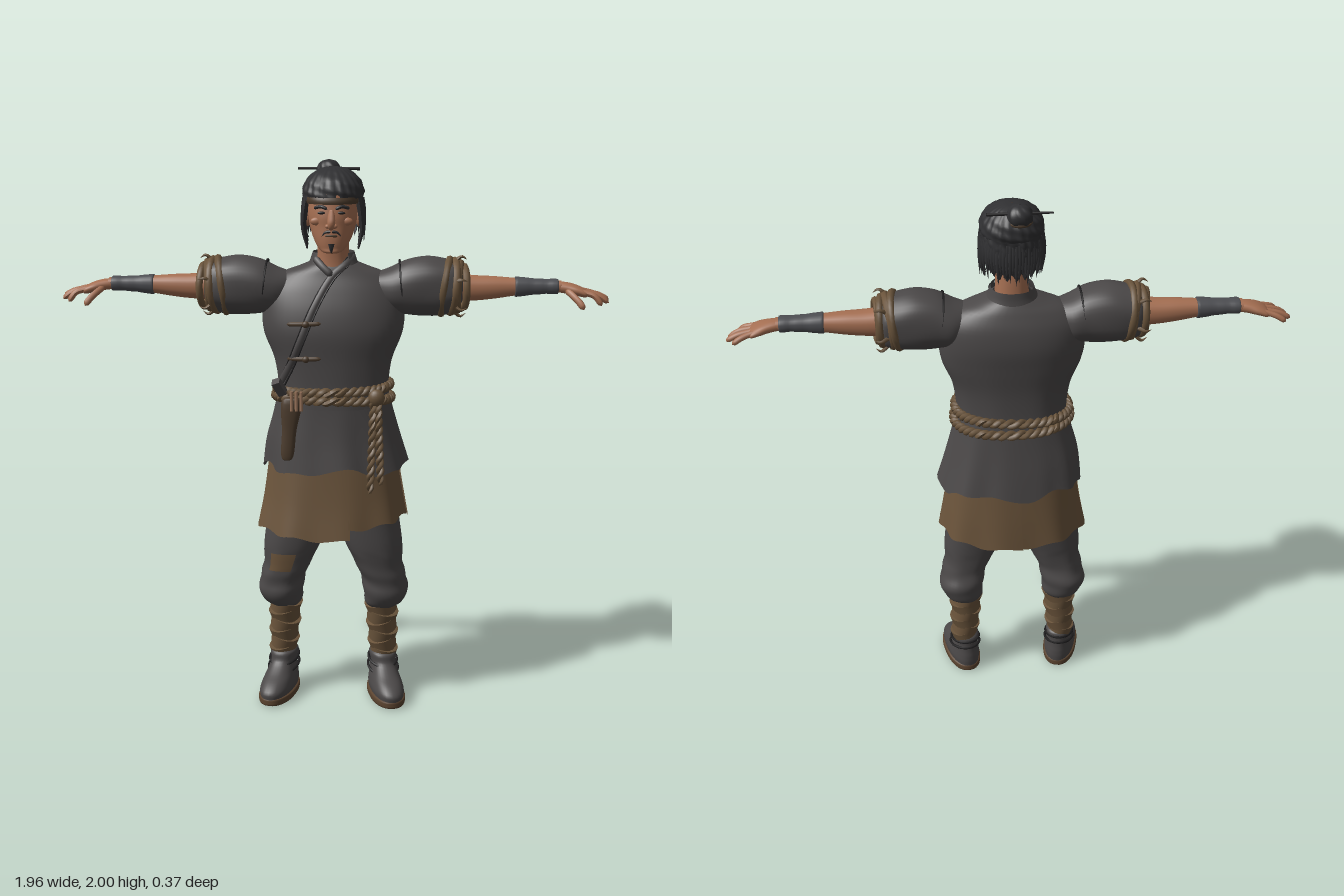
import * as THREE from 'three';

const M = (name, color) => Object.assign(new THREE.MeshStandardMaterial({ color, side: THREE.DoubleSide }), { name });
const V = (x, y, z) => new THREE.Vector3(x, y, z);
const POW = 0.88;
const sp = (v, p) => Math.sign(v) * Math.pow(Math.abs(v), p);

// Smooth section at u along rings of [y, rx, rz, cx, cz]
function sampler(rings) {
  const a = new THREE.CatmullRomCurve3(rings.map(r => V(r[0], r[1], r[2])));
  const b = new THREE.CatmullRomCurve3(rings.map((r, i) => V(r[3] || 0, r[4] || 0, i)));
  return u => { const p = a.getPoint(u), q = b.getPoint(u); return [p.x, p.y, p.z, q.x, q.y]; };
}

// Skin stacked elliptical sections (rising y); angle 0 is the front, turning to +x
function loft(rings, { n = 36, rows = 24, t0 = 0, t1 = Math.PI * 2, u0 = 0, u1 = 1, grow = 0, mod = () => 1, hem = () => 0 } = {}) {
  const at = sampler(rings), full = t1 - t0 > 6.28, cols = full ? n : n + 1, pos = [], idx = [];
  for (let i = 0; i <= rows; i++) {
    const v = i / rows, [y, rx, rz, cx, cz] = at(u0 + (u1 - u0) * v);
    for (let j = 0; j < cols; j++) {
      const t = t0 + (t1 - t0) * j / n, k = mod(t, v);
      pos.push(cx + (rx * k + grow) * sp(Math.sin(t), POW), y + hem(t) * (1 - v), cz + (rz * k + grow) * sp(Math.cos(t), POW));
    }
  }
  for (let i = 0; i < rows; i++) for (let j = 0; j < n; j++) {
    const a = i * cols + j, b = i * cols + (j + 1) % cols, c = a + cols, d = b + cols;
    idx.push(a, b, c, b, d, c);
  }
  const g = new THREE.BufferGeometry();
  g.setAttribute('position', new THREE.Float32BufferAttribute(pos, 3));
  g.setIndex(idx);
  g.computeVertexNormals();
  return g;
}

// Front surface depth of a loft at (x, y)
function frontZ(rings, x, y) {
  const at = sampler(rings);
  let best = at(0);
  for (let i = 1; i <= 200; i++) { const s = at(i / 200); if (Math.abs(s[0] - y) < Math.abs(best[0] - y)) best = s; }
  const s = Math.min(1, Math.pow(Math.abs(x - best[3]) / best[1], 1 / POW));
  return best[4] + best[2] * Math.pow(Math.sqrt(1 - s * s), POW);
}

// Tube whose radius follows a rule along its length
function cord(pts, r, taper = u => Math.pow(Math.max(0, 1 - Math.pow(Math.abs(2 * u - 1), 8)), 0.5), seg = 14, sides = 8, closed = false) {
  const c = new THREE.CatmullRomCurve3(pts, closed), g = new THREE.TubeGeometry(c, seg, r, sides, closed), p = g.attributes.position;
  for (let i = 0; i < p.count; i++) {
    const u = Math.floor(i / (sides + 1)) / seg, o = c.getPointAt(u);
    const q = V().fromBufferAttribute(p, i).sub(o).multiplyScalar(Math.max(0.02, taper(u))).add(o);
    p.setXYZ(i, q.x, q.y, q.z);
  }
  g.computeVertexNormals();
  return g;
}
const tip = u => Math.max(0, 1 - u * u);

function mirror(geo) {
  const g = geo.clone().scale(-1, 1, 1), a = g.index.array;
  for (let i = 0; i < a.length; i += 3) [a[i], a[i + 1]] = [a[i + 1], a[i]];
  return g;
}
const ball = (rx, ry, rz, x, y, z) => new THREE.SphereGeometry(1, 18, 12).scale(rx, ry, rz).translate(x, y, z);

export function createModel() {
  const root = new THREE.Group();
  const cloth = M('charcoal cloth', 0x4b4848), brown = M('brown cloth', 0x6c553c), rope = M('wrap and rope', 0x67523a);
  const skin = M('skin', 0xa56f52), hair = M('hair', 0x303032), guard = M('wrist cloth', 0x4d4e52);
  const sole = M('sole', 0x5a432f), seam = M('dark seam', 0x201f20), leather = M('leather', 0x4c3c2d), wood = M('wood', 0x9a755c);
  const add = (name, geo, mat) => { const m = new THREE.Mesh(geo, mat); m.name = name; root.add(m); return m; };
  const pair = (name, geo, mat) => { add(name + 'Left', geo, mat); add(name + 'Right', mirror(geo), mat); };
  let seed = 7;
  const rnd = () => (seed = (seed * 16807) % 2147483647) / 2147483647;

  // Tunic body
  const torso = [[1.13, .2, .135, 0, .005], [1.2, .198, .13, 0, .008], [1.3, .212, .13, 0, .01], [1.4, .25, .137, 0, .008], [1.48, .256, .133, 0, -.002],
    [1.55, .245, .116, 0, -.01], [1.6, .195, .095, 0, -.012], [1.63, .12, .082, 0, -.01], [1.65, .07, .07, 0, -.01]];
  add('tunicBody', loft(torso, { n: 48, rows: 36, mod: (t, v) => 1 + .016 * Math.sin(9 * t + 4 * v) * Math.max(0, 1 - 2.2 * v) }), cloth);
  const onTorso = (x, y, off = .004) => V(x, y, frontZ(torso, x, y) + off);

  // Collar and crossed lapel
  add('collar', loft([[1.61, .105, .09, 0, -.005], [1.65, .084, .078, 0, -.008], [1.68, .074, .072, 0, -.012]], { t0: .75, t1: Math.PI * 2 - .75, rows: 8, hem: t => 0 }), cloth);
  const lapel = [[.066, 1.665], [.04, 1.635], [0, 1.6], [-.06, 1.5], [-.11, 1.38], [-.15, 1.28], [-.185, 1.21]];
  for (const [i, side] of [-.014, .014].entries())
    add('lapelEdge' + i, cord(lapel.slice(i).map(([x, y]) => onTorso(x + side, y, .001)), .0035, () => 1, 30, 6), seam);
  add('lapelBand', cord(lapel.map(([x, y]) => onTorso(x, y, -.008)), .016, () => 1, 30, 8), cloth);
  add('lapelUnder', cord([V(-.066, 1.665, .045), V(-.035, 1.635, .075), V(0, 1.605, .09)], .013), cloth);
  for (const y of [1.44, 1.315]) {
    add('tie', cord([-.16, -.12, -.08, -.035].map(x => onTorso(x, y + (x + .1) * .05, .005)), .008), leather);
    add('tieKnot', ball(.013, .012, .01, ...onTorso(-.09, y, .01).toArray()), leather);
  }

  // Tunic skirt and split under-skirt
  const skirt = [[.9, .262, .168, .008, -.008], [1.0, .243, .152, 0, -.005], [1.1, .218, .138, 0, 0], [1.19, .198, .128, 0, .005]];
  const folds = (t, v) => 1 + (1 - v) * (.022 * Math.sin(8 * t + 1) + .012 * Math.sin(13 * t));
  add('tunicSkirt', loft(skirt, { n: 80, mod: folds, hem: t => .012 * Math.sin(5 * t + 1) + .008 * Math.sin(9 * t) }), cloth);
  const under = [[.69, .272, .178, -.004, 0], [.8, .252, .164, 0, -.003], [.98, .225, .144, 0, -.003]];
  const panels = [[.2, 1.52, .014], [1.6, 3.2, 0], [3.18, 4.66, .0], [4.74, 6.5, -.024]];
  panels.forEach(([t0, t1, d], i) => add('underSkirtPanel' + i, loft(under, {
    n: 28, rows: 12, t0, t1, grow: i % 2 * .005, mod: (t, v) => 1 + (1 - v) * .022 * Math.sin(9 * t),
    hem: t => d - .014 * Math.cos(2 * t) + .006 * Math.sin(11 * t) }), brown));

  // Rope belt, two twisted turns
  for (const [k, y] of [1.195, 1.158].entries()) for (const ph of [0, Math.PI]) {
    const pts = Array.from({ length: 96 }, (_, i) => {
      const t = i / 96 * Math.PI * 2, w = 22 * t + ph, r = .009 * Math.cos(w);
      return V((.204 + k * .005 + r) * sp(Math.sin(t), POW), y + .009 * Math.sin(w) + .008 * Math.sin(t + k * 2), .005 + (.138 + k * .003 + r) * sp(Math.cos(t), POW));
    });
    add('beltRope', cord(pts, .011, () => 1, 192, 6, true), rope);
  }
  // Rope tails at the left hip
  for (const [x0, x1, y1, z1] of [[.15, .14, .83, .165], [.165, .178, .86, .155]]) for (const ph of [0, Math.PI]) {
    const pts = Array.from({ length: 30 }, (_, i) => {
      const u = i / 29, w = u * 34 + ph;
      return V(x0 + (x1 - x0) * u + .007 * Math.cos(w), 1.18 + (y1 - 1.18) * u, .125 + (z1 - .125) * u + .007 * Math.sin(w));
    });
    add('ropeTail', cord(pts, .009, undefined, 60, 6), rope);
  }
  add('ropeKnot', ball(.03, .032, .022, .16, 1.175, .125), rope);

  // Sheath, sticks and knife grip at the right hip
  add('sheath', loft([[.95, .002, .002, -.158, .158], [.955, .018, .01, -.158, .158], [1.06, .026, .015, -.15, .152], [1.17, .034, .018, -.14, .146], [1.18, .002, .002, -.14, .146]], { n: 16, rows: 20 }), leather);
  for (let i = 0; i < 3; i++) add('stick', new THREE.CylinderGeometry(.006, .006, .07, 8).translate(-.14 + i * .017, 1.168, .165), wood);
  add('knifeGrip', new THREE.BoxGeometry(.03, .06, .03).rotateZ(.4).rotateX(.5).translate(-.185, 1.215, .145), cloth);

  // Trousers with knee folds, patch on the right
  const leg = [[.345, .05, .058, .182, -.012], [.37, .073, .085, .19, -.008], [.42, .084, .1, .197, -.006], [.47, .084, .094, .188, 0], [.52, .087, .093, .172, .008],
    [.6, .106, .1, .152, .01], [.7, .115, .105, .13, .006], [.82, .118, .11, .115, 0], [.95, .1, .1, .1, 0]];
  const creases = (t, v) => 1 + (v < .6 ? .028 * Math.sin(30 * v + 2 * Math.sin(t + 1)) * Math.sin(v / .6 * Math.PI) + .012 * Math.sin(6 * t + 9 * v) : 0);
  pair('trouserLeg', loft(leg, { rows: 50, mod: creases }), cloth);
  add('kneePatch', mirror(loft(leg, { n: 8, rows: 8, t0: -.2, t1: .62, u0: .47, u1: .59, grow: .008 })), brown);

  // Calf wraps: overlapping tilted bands
  pair('calf', loft([[.13, .044, .05, .19, -.012], [.22, .046, .054, .187, -.014], [.36, .05, .058, .183, -.014]], { n: 20, rows: 6 }), rope);
  for (let k = 0; k < 6; k++) {
    const r = .046 + k * .0017;
    pair('calfWrap' + k, new THREE.CylinderGeometry(r + .007, r, .048, 24, 1).scale(1, 1, 1.14)
      .rotateZ(k % 2 ? .24 : -.2).rotateX(.1).translate(.19 - k * .0015, .155 + k * .037, -.013), k % 2 ? brown : rope);
  }

  // Shoes, toes turned out
  const place = g => g.rotateY(.24).translate(.19, 0, 0);
  pair('shoe', place(loft([[.02, .06, .125, 0, .055], [.045, .063, .126, 0, .054], [.07, .058, .112, 0, .04], [.095, .051, .086, 0, .016], [.125, .047, .065, 0, -.004],
    [.155, .052, .06, 0, -.008], [.165, .044, .05, 0, -.01]], { mod: t => 1 - .04 * Math.cos(2 * t + Math.PI) })), cloth);
  pair('shoeSole', place(loft([[0, .001, .002, 0, .055], [.0005, .063, .13, 0, .055], [.014, .066, .132, 0, .055], [.026, .064, .129, 0, .055], [.027, .001, .002, 0, .055]], { rows: 16 })), sole);
  for (const [y, z, r] of [[.1, .0, .056], [.13, -.005, .053]])
    pair('shoeTie', place(new THREE.TorusGeometry(r, .005, 6, 28).rotateX(Math.PI / 2).scale(1, 1, 1.3).rotateX(.22).translate(0, y, z)), seam);

  // Arms, laid along x
  const arm = (rings, o) => loft(rings, o).rotateZ(-Math.PI / 2).translate(0, 1.56, 0);
  pair('sleeve', arm([[.13, .04, .05], [.2, .076, .09, .012, -.004], [.26, .097, .098, .004], [.33, .106, .1, 0], [.39, .1, .096, .002], [.44, .085, .085, .002], [.46, .05, .05, .003]],
    { rows: 30, mod: (t, v) => 1 + .022 * Math.sin(6 * t + 8 * v) * v }), cloth);
  pair('shoulderSeam', new THREE.TorusGeometry(.094, .004, 6, 36).rotateY(Math.PI / 2).rotateZ(.1).translate(.245, 1.557, 0), seam);
  [[.4, .097, .014], [.425, .091, .015], [.448, .083, .014], [.466, .072, .013]].forEach(([x, r, w], i) =>
    pair('sleeveWrap' + i, new THREE.TorusGeometry(r, w, 8, 36).scale(.94, 1, 1).rotateY(Math.PI / 2 + (i % 2 ? .12 : -.1)).rotateZ(-.14 + i * .05).translate(x, 1.558, 0), i % 2 ? brown : rope));
  for (let i = 0; i < 6; i++) {
    const a = i * 1.05 + .2, c = Math.cos(a), s = Math.sin(a);
    pair('fray' + i, cord([V(.43, 1.558 + .09 * c, .085 * s), V(.455, 1.558 + .112 * c, .1 * s), V(.475, 1.558 + .1 * c, .095 * s)], .008, tip, 8, 5), rope);
  }
  pair('forearm', arm([[.42, .05, .05, .004], [.5, .045, .047, .006], [.57, .04, .042, .004], [.65, .031, .034, .001], [.72, .025, .03, 0], [.81, .021, .028, -.001]], { n: 24 }), skin);
  pair('wristCloth', arm([[.645, .028, .03, 0], [.648, .035, .037, .001], [.7, .03, .034, 0], [.76, .026, .032, -.001], [.797, .026, .033, -.001], [.8, .018, .024, -.001]], { n: 24, mod: (t, v) => 1 + .015 * Math.sin(40 * v) }), guard);
  pair('palm', arm([[.795, .019, .026, 0], [.83, .02, .034, .004], [.865, .019, .044, .012], [.895, .014, .044, .022], [.905, .002, .02, .026]], { n: 20 }), skin);
  [[.034, .048, .95, 1.5], [.012, .017, .978, 1.506], [-.012, -.018, .982, 1.512], [-.033, -.05, .958, 1.515]].forEach(([z0, z1, x, y], i) =>
    pair('finger' + i, cord([V(.865, 1.548, z0 * .85), V(.9, 1.541, z0), V((.9 + x) / 2, 1.532, (z0 + z1) / 2), V(x, y, z1)], .0105), skin));
  pair('thumb', cord([V(.825, 1.552, .022), V(.85, 1.532, .05), V(.87, 1.512, .067), V(.885, 1.49, .078)], .012), skin);

  // Neck and head
  add('neck', loft([[1.58, .07, .07, 0, .008], [1.64, .06, .062, 0, .008], [1.7, .056, .06, 0, .012], [1.76, .056, .06, 0, .02]], { n: 24, rows: 10 }), skin);
  const face = [[1.684, .002, .002, 0, .105], [1.69, .03, .03, 0, .107], [1.705, .049, .052, 0, .086], [1.735, .066, .077, 0, .063], [1.775, .08, .096, 0, .042],
    [1.81, .086, .1, 0, .038], [1.85, .087, .1, 0, .032], [1.9, .085, .1, 0, .022], [1.94, .06, .07, 0, .015]];
  add('head', loft(face, { rows: 40 }), skin);
  const onFace = (x, y, off = .002) => V(x, y, frontZ(face, x, y) + off);
  add('nose', cord([onFace(0, 1.835, -.004), onFace(0, 1.81, .004), onFace(0, 1.786, .013), onFace(0, 1.775, .001)], .014, u => .6 + .4 * Math.sin(u * 3)), skin);
  pair('nostril', ball(.01, .008, .011, ...onFace(.012, 1.782, .003).toArray()), skin);
  pair('brow', cord([onFace(.014, 1.84, .002), onFace(.035, 1.848, .002), onFace(.062, 1.842, .001)], .006), hair);
  pair('eye', ball(.014, .005, .004, ...onFace(.034, 1.827, .001).toArray()), seam);
  pair('cheekbone', ball(.022, .014, .01, ...onFace(.052, 1.797, -.004).toArray()), skin);
  pair('moustache', cord([onFace(.003, 1.764), onFace(.02, 1.761), onFace(.035, 1.746)], .005, tip), hair);
  add('mouth', cord([onFace(-.022, 1.748, 0), onFace(0, 1.749, 0), onFace(.022, 1.748, 0)], .004), leather);
  add('goatee', cord([onFace(0, 1.722, 0), onFace(0, 1.705, .002), onFace(0, 1.692, -.002)], .011, u => 1 - .7 * u), hair);
  pair('ear', ball(.012, .032, .02, .09, 1.802, .008), skin);

  // Hair: cap, back fall, loose strands, bun with pin
  const rough = (t, v) => 1 + .018 * Math.sin(23 * t + 6 * v) + .014 * Math.sin(31 * v + 5 * t);
  add('hairCap', loft([[1.865, .102, .116, 0, .012], [1.895, .108, .12, 0, .008], [1.93, .096, .108, 0, .004], [1.96, .066, .075, 0, -.004], [1.975, .03, .035, 0, -.01], [1.977, .002, .002, 0, -.01]],
    { n: 90, rows: 24, mod: rough }), hair);
  add('hairBack', loft([[1.745, .075, .09, 0, -.008], [1.8, .096, .113, 0, -.004], [1.88, .104, .122, 0, .004]],
    { n: 60, rows: 16, t0: 1.75, t1: Math.PI * 2 - 1.75, mod: rough, hem: t => .012 * Math.sin(17 * t) }), hair);
  add('headband', loft([[1.855, .093, .106, 0, .03], [1.866, .098, .109, 0, .028], [1.878, .099, .11, 0, .022]], { n: 40, rows: 4 }), leather);
  for (let i = 0; i < 34; i++) {
    const t = 1.5 + (Math.PI * 2 - 3) * i / 33, s = Math.sin(t), c = Math.cos(t), low = 1.715 + .05 * rnd(), w = .9 + .15 * rnd();
    add('backStrand', cord([V(.1 * s, 1.87, .005 + .115 * c), V(.108 * s, 1.81, .118 * c), V(.105 * w * s, low, .118 * w * c)], .01, tip, 10, 5), hair);
  }
  for (let i = 0; i < 4; i++)
    pair('sideLock' + i, cord([V(.09, 1.88, .06 - i * .012), V(.1, 1.82, .056 - i * .014), V(.102, 1.76, .045 - i * .012), V(.09, 1.695 + i * .012, .04 - i * .012)], .014, u => 1 - .75 * u * u, 14, 6), hair);
  add('bun', loft([[1.925, .03, .03, -.02, -.07], [1.945, .04, .042, -.02, -.075], [1.97, .041, .043, -.02, -.077], [1.99, .028, .03, -.02, -.077], [1.999, .002, .002, -.02, -.077]],
    { n: 40, rows: 14, mod: (t, v) => 1 + .05 * Math.sin(7 * t + 9 * v) }), hair);
  add('bunTie', new THREE.TorusGeometry(.036, .007, 6, 24).rotateX(Math.PI / 2).translate(-.02, 1.937, -.073), leather);
  add('hairPin', new THREE.CylinderGeometry(.004, .006, .22, 8).rotateZ(Math.PI / 2).translate(-.02, 1.966, -.075), seam);
  return root;
}
